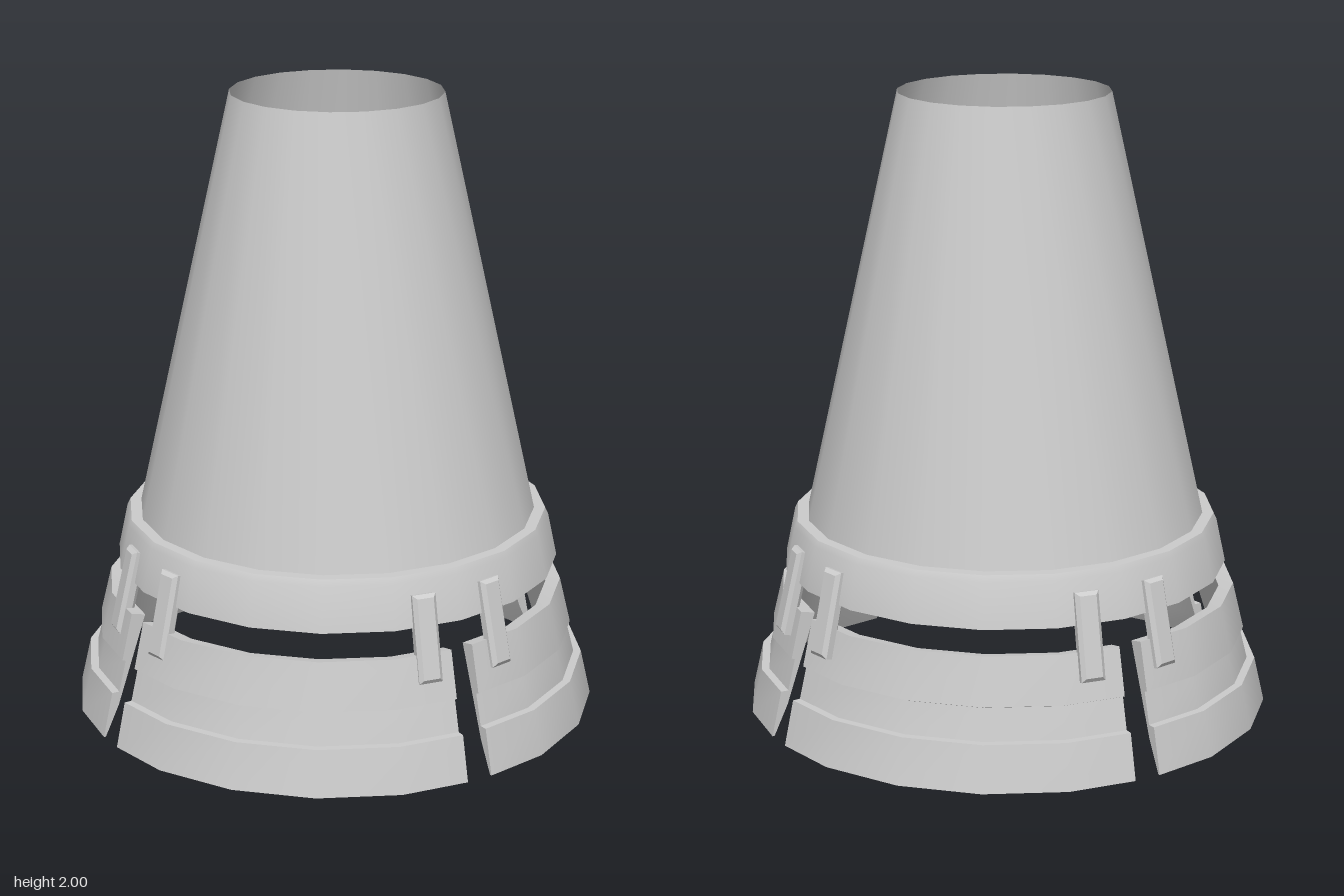
import * as THREE from 'three';
import { toCreasedNormals } from 'three/addons/utils/BufferGeometryUtils.js';

const SIDES = 20;
const STEP = 360 / SIDES;
const rad = THREE.MathUtils.degToRad;
const material = new THREE.MeshStandardMaterial({ color: 0xcccccc, side: THREE.DoubleSide });

function addMesh(parent, name, geometry) {
  const mesh = new THREE.Mesh(geometry, material);
  mesh.name = name;
  parent.add(mesh);
  return mesh;
}

const points = (list) => list.map(([r, y]) => new THREE.Vector2(r, y));

// Full ring or cone turned from a profile
function turned(list) {
  return toCreasedNormals(new THREE.LatheGeometry(points(list), SIDES), 0.5);
}

// Closed profile swept through part of a 20-sided ring, with capped ends
function sector(list, angles) {
  const n = list.length;
  const position = [];
  const index = [];
  for (const angle of angles) {
    // keep cut ends on the straight facets
    const offset = ((angle % STEP) + STEP) % STEP;
    const k = Math.cos(rad(STEP / 2)) / Math.cos(rad(offset - STEP / 2));
    const a = rad(angle);
    for (const [r, y] of list) position.push(r * k * Math.sin(a), y, r * k * Math.cos(a));
  }
  for (let i = 0; i < angles.length - 1; i++) {
    for (let j = 0; j < n; j++) {
      const a = i * n + j, d = i * n + (j + 1) % n;
      index.push(a, a + n, d + n, a, d + n, d);
    }
  }
  const last = (angles.length - 1) * n;
  for (const [a, b, c] of THREE.ShapeUtils.triangulateShape(points(list), [])) {
    index.push(a, b, c, last + a, last + c, last + b);
  }
  const geometry = new THREE.BufferGeometry();
  geometry.setAttribute('position', new THREE.Float32BufferAttribute(position, 3));
  geometry.setIndex(index);
  return toCreasedNormals(geometry, 0.5);
}

// Bevelled bar, centred, with its thickness along z
function barGeometry(width, height, depth, bevel) {
  const w = width / 2 - bevel, h = height / 2 - bevel;
  const shape = new THREE.Shape(points([[-w, -h], [w, -h], [w, h], [-w, h]]));
  const geometry = new THREE.ExtrudeGeometry(shape, {
    depth: depth - 2 * bevel, bevelEnabled: true,
    bevelSize: bevel, bevelThickness: bevel, bevelSegments: 1,
  });
  return geometry.center();
}

export function createModel() {
  const model = new THREE.Group();
  model.name = 'nozzle';

  // Upper assembly sits slightly behind the base ring's axis
  const upper = new THREE.Group();
  upper.name = 'upperAssembly';
  upper.position.z = -0.012;
  model.add(upper);

  addMesh(upper, 'cone', turned([[0.64, 0.64], [0.336, 2]]));
  addMesh(upper, 'collar', turned([[0.716, 0.48], [0.686, 0.62], [0.676, 0.64], [0.64, 0.64]]));

  // Stepped skirt in four segments, with a slot between each pair
  const skirtProfile = [
    [0.845, 0], [0.812, 0.145], [0.787, 0.145], [0.762, 0.245],
    [0.773, 0.25], [0.737, 0.4], [0.69, 0.39], [0.79, 0.1], [0.838, 0],
  ];
  const skirt = sector(skirtProfile, [-15, 0, 18, 36, 54, 69]);

  // Slanted clips bridge the collar and skirt on both sides of each slot
  const clip = barGeometry(0.078, 0.275, 0.046, 0.012);
  for (let i = 0; i < 4; i++) {
    addMesh(model, 'skirtSegment', skirt).rotation.y = i * Math.PI / 2;
    for (const angle of [-28, -8]) {
      const arm = new THREE.Group();
      arm.name = 'clip';
      arm.rotation.y = rad(angle + i * 90);
      const bar = addMesh(arm, 'clipBar', clip);
      bar.position.set(0, 0.445, 0.717);
      bar.rotation.x = -0.23;
      upper.add(arm);
    }
  }
  return model;
}
